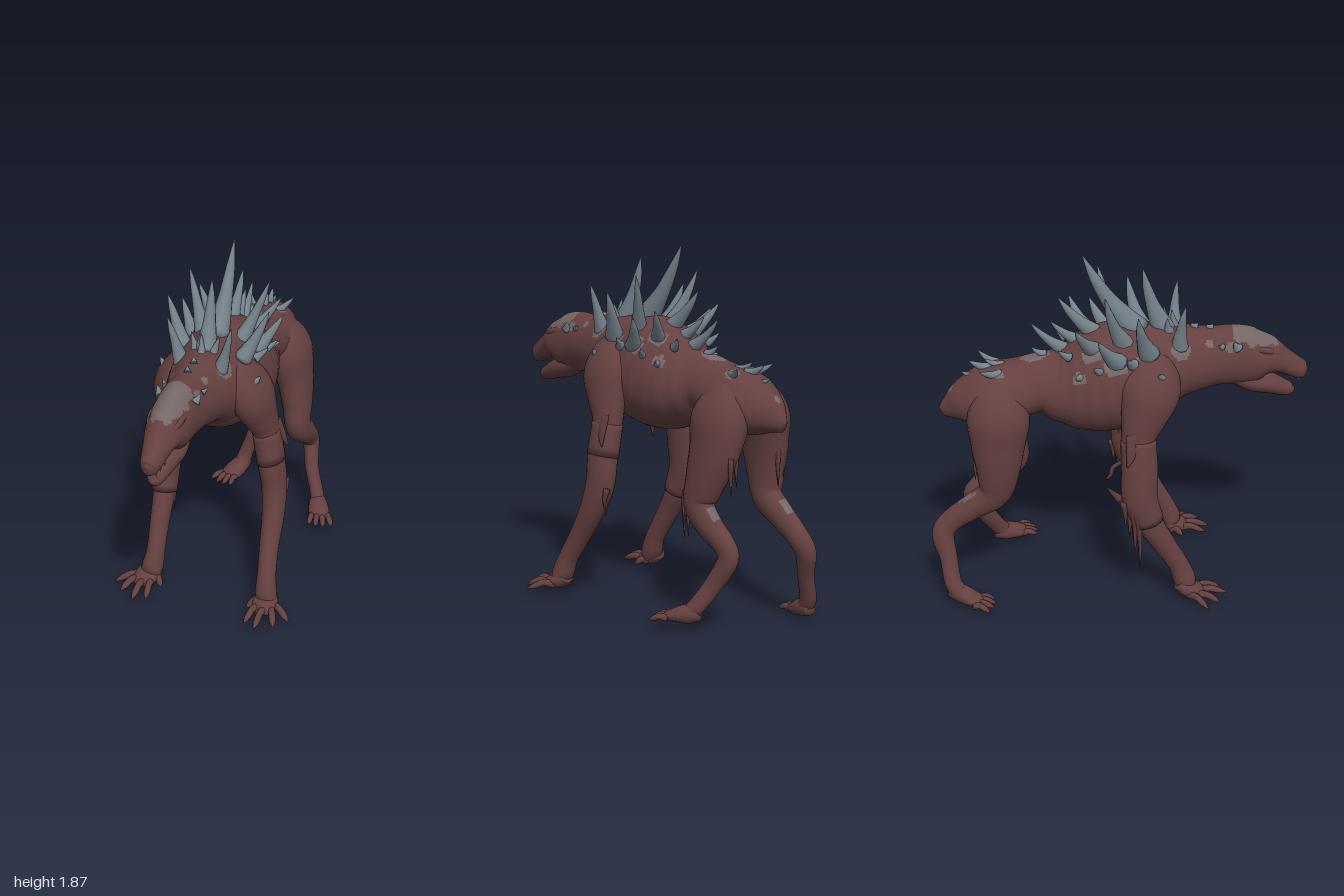
import * as THREE from 'three';

const mat = (name, color, side = THREE.FrontSide) => {
  const m = new THREE.MeshStandardMaterial({ color, side });
  m.name = name;
  return m;
};
const CX = -0.035; // spine line

// Smooth tube through rows of [x, y, z, side radius, other radius], closed at both ends.
// paint(point, sin) picks a material index; topTaper narrows the upper half.
function loft(rows, { steps = 5, sides = 16, topTaper = 0, paint = null, ripple = null } = {}) {
  const path = new THREE.CatmullRomCurve3(rows.map(r => new THREE.Vector3(r[0], r[1], r[2])), false, 'catmullrom');
  const radii = new THREE.CatmullRomCurve3(rows.map(r => new THREE.Vector3(r[3], r[4], 0)), false, 'catmullrom');
  const n = (rows.length - 1) * steps;
  const pos = [], lists = [[], []];
  const s = new THREE.Vector3(), u = new THREE.Vector3(), p = new THREE.Vector3();
  for (let i = 0; i <= n; i++) {
    const c = path.getPoint(i / n), t = path.getTangent(i / n), r = radii.getPoint(i / n);
    s.set(1, 0, 0).addScaledVector(t, -t.x).normalize();
    u.crossVectors(t, s);
    for (let j = 0; j < sides; j++) {
      const a = j / sides * Math.PI * 2, cos = Math.cos(a), sin = Math.sin(a);
      const k = ripple ? 1 + ripple(c, cos) : 1;
      p.copy(c).addScaledVector(s, cos * Math.max(r.x, 0.001) * (1 - topTaper * sin) * k)
        .addScaledVector(u, sin * Math.max(r.y, 0.001) * k);
      pos.push(p.x, p.y, p.z);
    }
  }
  for (let i = 0; i < n; i++) for (let j = 0; j < sides; j++) {
    const j1 = (j + 1) % sides, a = i * sides + j, b = i * sides + j1, c = a + sides, d = b + sides;
    p.fromArray(pos, a * 3);
    lists[paint ? paint(p, Math.sin((j + 0.5) / sides * Math.PI * 2)) : 0].push(a, b, c, b, d, c);
  }
  const first = path.getPoint(0), last = path.getPoint(1), f = pos.length / 3;
  pos.push(...first.toArray(), ...last.toArray());
  for (let j = 0; j < sides; j++) {
    const j1 = (j + 1) % sides;
    lists[0].push(f, j1, j, f + 1, n * sides + j, n * sides + j1);
  }
  const g = new THREE.BufferGeometry();
  g.setAttribute('position', new THREE.Float32BufferAttribute(pos, 3));
  g.setIndex([...lists[0], ...lists[1]]);
  if (paint) {
    g.addGroup(0, lists[0].length, 0);
    g.addGroup(lists[0].length, lists[1].length, 1);
  }
  g.computeVertexNormals();
  return g;
}

export function createModel() {
  const model = new THREE.Group();
  const skin = mat('dark red skin', 0x654040);
  const horn = mat('grey horn', 0x74818a);
  const scar = mat('pale hide', 0x746664);
  const rag = mat('hanging hide', 0x5f3c3c, THREE.DoubleSide);
  const add = (name, geometry, material, parent = model) => {
    const m = new THREE.Mesh(geometry, material);
    m.name = name;
    parent.add(m);
    return m;
  };
  const strip = (name, x, y, z, len, r, parent, dz = 0.01) => add(name, loft([[x, y, z, r, r],
    [x + 0.005, y - len * 0.5, z + dz, r * 0.6, r * 0.7], [x, y - len, z + dz, 0.002, 0.002]], { steps: 3, sides: 6 }), rag, parent);

  // Torso, neck and upper head: [z, top, bottom, half width]
  const sections = [
    [-0.91, 1.06, 1.0, 0.015], [-0.87, 1.115, 0.99, 0.055], [-0.8, 1.195, 0.97, 0.115], [-0.7, 1.265, 0.96, 0.17],
    [-0.6, 1.295, 0.98, 0.19], [-0.5, 1.31, 1.01, 0.175], [-0.4, 1.335, 1.03, 0.165], [-0.3, 1.37, 0.97, 0.195],
    [-0.2, 1.42, 0.92, 0.23], [-0.1, 1.465, 0.905, 0.245], [0, 1.495, 0.92, 0.245], [0.1, 1.5, 0.95, 0.235],
    [0.2, 1.49, 1.02, 0.215], [0.3, 1.475, 1.075, 0.185], [0.4, 1.46, 1.105, 0.155], [0.5, 1.45, 1.13, 0.131],
    [0.6, 1.455, 1.13, 0.115], [0.7, 1.435, 1.13, 0.108], [0.78, 1.39, 1.165, 0.098], [0.85, 1.325, 1.18, 0.078],
    [0.92, 1.27, 1.155, 0.06], [0.97, 1.235, 1.135, 0.045], [0.995, 1.205, 1.15, 0.015]];
  // Pale spots around the horn roots: side offset, y, z, radius
  const spots = [[0.14, 1.4, 0.31, 0.052], [0.2, 1.37, 0.13, 0.06], [0.2, 1.36, -0.03, 0.06], [0.14, 1.4, -0.15, 0.052],
    [0.18, 1.28, -0.21, 0.035], [0.08, 1.26, -0.63, 0.038], [0.1, 1.38, 0.57, 0.03], [0, 1.15, -0.85, 0.025], [0.09, 1.4, 0.46, 0.022]];
  add('body', loft(sections.map(([z, t, b, w]) => [CX, (t + b) / 2, z, w, (t - b) / 2]), {
    steps: 10, sides: 72, topTaper: 0.12,
    ripple: (c, cos) => (c.z < 0.05 && c.z > -0.36 ? 0.006 * Math.sin(c.z * 75) * Math.abs(cos) : 0),
    paint: (p, sin) => {
      const head = p.z > 0.59 && p.z < 0.83 && sin > 0.54 + 20 * (p.z - 0.69) ** 2 + 0.06 * Math.sin(p.z * 90);
      const loin = sin > 0.94 + 12 * (p.z + 0.43) ** 2;
      const spot = spots.some(([x, y, z, r]) => Math.hypot(Math.abs(p.x - CX) - x, p.y - y, p.z - z) < r);
      return head || loin || spot ? 1 : 0;
    }
  }), [skin, scar]);

  // Lower jaw, brows and teeth
  add('lowerJaw', loft([[CX, 1.19, 0.6, 0.07, 0.05], [CX, 1.145, 0.7, 0.088, 0.06], [CX, 1.12, 0.79, 0.073, 0.055],
    [CX, 1.094, 0.86, 0.055, 0.046], [CX, 1.077, 0.91, 0.039, 0.035], [CX, 1.075, 0.935, 0.01, 0.01]]), skin);
  for (const s of [-1, 1]) {
    add('brow', loft([[CX + s * 0.07, 1.35, 0.68, 0.01, 0.01], [CX + s * 0.075, 1.34, 0.75, 0.02, 0.02],
      [CX + s * 0.058, 1.315, 0.82, 0.017, 0.015], [CX + s * 0.042, 1.285, 0.88, 0.008, 0.008]], { sides: 10 }), skin);
    for (let i = 0; i < 3; i++) {
      const upper = add('upperTooth', new THREE.ConeGeometry(0.006, 0.024, 6), horn);
      upper.position.set(CX + s * (0.045 - i * 0.008), 1.158 - i * 0.012, 0.88 + i * 0.035);
      upper.rotation.x = Math.PI;
    }
  }

  // Curved spikes: base, tip, radius
  const spike = (b, t, r, parent) => {
    const B = new THREE.Vector3(...b), T = new THREE.Vector3(...t), h = B.distanceTo(T);
    const row = (k, rad) => {
      const q = B.clone().lerp(T, k);
      q.y -= h * 0.15 * k * (1 - k);
      q.z -= h * 0.1 * k * (1 - k);
      return [q.x, q.y, q.z, rad * 0.85, rad];
    };
    add('spike', loft([row(-0.12, r * 1.2), row(0.1, r), row(0.4, r * 0.68), row(0.72, r * 0.42), row(1, 0.002)],
      { steps: 3, sides: 10 }), horn, parent);
  };
  const crest = new THREE.Group();
  crest.name = 'spineCrest';
  model.add(crest);
  // Spikes along the spine: base z, base y, tip z, tip y, radius
  for (const [z, y, tz, ty, r] of [
    [0.23, 1.47, 0.13, 1.79, 0.055], [0.07, 1.48, -0.175, 1.875, 0.063], [-0.11, 1.44, -0.3, 1.65, 0.045],
    [-0.21, 1.41, -0.34, 1.52, 0.032], [-0.29, 1.37, -0.44, 1.515, 0.032], [0.3, 1.46, 0.28, 1.56, 0.024],
    [-0.38, 1.335, -0.44, 1.38, 0.022], [-0.6, 1.28, -0.68, 1.325, 0.024], [-0.67, 1.27, -0.76, 1.32, 0.028],
    [-0.74, 1.23, -0.8, 1.26, 0.02], [0.4, 1.455, 0.38, 1.48, 0.02], [0.48, 1.445, 0.46, 1.468, 0.02]])
    spike([CX, y, z], [CX - 0.01, ty, tz], r, crest);
  // Paired spikes: base x, y, z, tip x, y, z, radius
  for (const [x, y, z, tx, ty, tz, r] of [
    [0.11, 1.43, 0.02, 0.22, 1.725, -0.08, 0.046], [0.17, 1.4, 0.14, 0.275, 1.635, 0.08, 0.048],
    [0.11, 1.41, 0.31, 0.17, 1.645, 0.33, 0.04], [0.18, 1.36, -0.02, 0.28, 1.52, -0.12, 0.046],
    [0.12, 1.41, -0.14, 0.23, 1.56, -0.23, 0.04], [0.05, 1.46, 0.26, 0.075, 1.54, 0.25, 0.024],
    [0.22, 1.265, 0.22, 0.275, 1.325, 0.19, 0.036], [0.19, 1.31, -0.1, 0.245, 1.36, -0.14, 0.025],
    [0.12, 1.37, -0.26, 0.15, 1.42, -0.31, 0.022], [0.07, 1.26, -0.62, 0.13, 1.31, -0.71, 0.027],
    [0.095, 1.37, 0.61, 0.115, 1.41, 0.59, 0.024], [0.1, 1.38, 0.53, 0.12, 1.4, 0.51, 0.015],
    [0.18, 1.28, -0.2, 0.225, 1.3, -0.23, 0.024], [0.2, 1.35, 0.06, 0.255, 1.4, 0.03, 0.028]])
    for (const s of [-1, 1]) spike([CX + s * x, y, z], [CX + s * tx, ty, tz], r, crest);

  // Digit with a bent knuckle and a pointed claw
  const digit = (name, a, b, r, lift, parent) => {
    const at = k => a.map((v, i) => v + (b[i] - v) * k);
    const [p, q] = [at(0.4), at(0.75)];
    add(name, loft([[...a, r, r], [p[0], p[1] + lift, p[2], r * 0.8, r * 0.85],
      [q[0], q[1] + lift * 0.5, q[2], r * 0.75, r * 0.7], [...b, 0.003, 0.003]], { steps: 3, sides: 8 }), skin, parent);
  };

  // Front legs: shared [y, z, side radius, fore radius]; x for each side
  const armRows = [[1.38, 0.13, 0.05, 0.08], [1.28, 0.15, 0.092, 0.145], [1.18, 0.145, 0.105, 0.155], [1.07, 0.115, 0.086, 0.122],
    [0.95, 0.085, 0.07, 0.09], [0.78, 0.09, 0.07, 0.092], [0.63, 0.09, 0.066, 0.088], [0.48, 0.14, 0.06, 0.072],
    [0.33, 0.225, 0.052, 0.06], [0.2, 0.3, 0.05, 0.055], [0.11, 0.335, 0.058, 0.06], [0.05, 0.355, 0.058, 0.035]];
  const armX = { 1: [0.06, 0.13, 0.178, 0.21, 0.235, 0.265, 0.285, 0.3, 0.31, 0.325, 0.335, 0.345],
    '-1': [-0.13, -0.2, -0.247, -0.275, -0.292, -0.315, -0.328, -0.325, -0.32, -0.312, -0.318, -0.33] };
  for (const s of [1, -1]) {
    const leg = new THREE.Group();
    leg.name = s > 0 ? 'leftFrontLeg' : 'rightFrontLeg';
    model.add(leg);
    const rows = armRows.map((r, i) => [armX[s][i], ...r]);
    add('arm', loft(rows, { sides: 22 }), skin, leg);
    const hx = s > 0 ? 0.34 : -0.335;
    add('palm', loft([[hx, 0.1, 0.3, 0.04, 0.04], [hx, 0.065, 0.35, 0.068, 0.045], [hx + s * 0.01, 0.05, 0.41, 0.06, 0.03],
      [hx + s * 0.01, 0.04, 0.44, 0.035, 0.012]]), skin, leg);
    for (const [x0, z0, x1, z1] of [[0.04, 0.35, 0.16, 0.44], [0.045, 0.39, 0.1, 0.51], [0.01, 0.4, 0.01, 0.56],
      [-0.03, 0.39, -0.055, 0.53], [-0.04, 0.34, -0.09, 0.4]])
      digit('finger', [hx + s * x0, 0.045, z0], [hx + s * x1, 0.025, z1], 0.023, 0.02, leg);
    // Torn hide cuff, flaring gently at its lower edge
    const cuff = rows.slice(4, s > 0 ? 6 : 8).map((r, i) => [r[0], r[1], r[2], r[3] + 0.002 + i * 0.002, r[4] + 0.002 + i * 0.002]);
    add('tornCuff', loft(cuff, { sides: 22 }), skin, leg);
    // Strips hanging behind the forearm
    for (let i = 0; i < (s > 0 ? 2 : 8); i++)
      strip('hideStrip', armX[s][6] + s * (0.035 - (i % 3) * 0.03), 0.62 - (i % 4) * 0.03, (i % 4) * 0.026,
        s > 0 ? 0.12 : 0.14 + 0.055 * ((i * 5) % 4), 0.018, leg, 0.012);
    // Ragged flap at the outer elbow
    add('elbowFlap', loft([[armX[s][4] + s * 0.05, 1.0, 0.05, 0.01, 0.035], [armX[s][5] + s * 0.052, 0.9, 0.04, 0.01, 0.025],
      [armX[s][5] + s * 0.068, 0.84, 0.02, 0.002, 0.004]], { steps: 3, sides: 8 }), rag, leg);
  }
  // Curled scraps behind the right elbow
  add('elbowScrap', loft([[-0.32, 0.84, -0.005, 0.012, 0.01], [-0.32, 0.81, -0.05, 0.012, 0.012], [-0.32, 0.77, -0.06, 0.012, 0.012],
    [-0.32, 0.74, -0.085, 0.003, 0.003]], { steps: 3, sides: 6 }), rag);
  add('forearmScrap', loft([[-0.32, 0.58, 0.03, 0.015, 0.03], [-0.32, 0.64, -0.03, 0.012, 0.02],
    [-0.32, 0.69, -0.075, 0.002, 0.003]], { steps: 3, sides: 6 }), rag);

  // Hind legs: [x, y, z, side radius, fore radius], left stepping forward, right trailing
  const hind = {
    leftHindLeg: [[0.03, 1.24, -0.58, 0.05, 0.08], [0.1, 1.07, -0.605, 0.12, 0.165], [0.145, 0.9, -0.61, 0.1, 0.15],
      [0.175, 0.74, -0.575, 0.082, 0.115], [0.19, 0.62, -0.55, 0.068, 0.09], [0.2, 0.53, -0.63, 0.06, 0.074],
      [0.195, 0.45, -0.725, 0.052, 0.062], [0.2, 0.38, -0.765, 0.046, 0.058], [0.23, 0.25, -0.7, 0.039, 0.05],
      [0.28, 0.14, -0.64, 0.038, 0.046], [0.305, 0.085, -0.6, 0.042, 0.045]],
    rightHindLeg: [[-0.1, 1.24, -0.6, 0.05, 0.08], [-0.17, 1.07, -0.62, 0.12, 0.16], [-0.195, 0.9, -0.63, 0.1, 0.14],
      [-0.2, 0.74, -0.635, 0.082, 0.11], [-0.19, 0.62, -0.66, 0.068, 0.088], [-0.18, 0.545, -0.76, 0.06, 0.072],
      [-0.17, 0.46, -0.88, 0.052, 0.062], [-0.18, 0.38, -0.935, 0.046, 0.06], [-0.21, 0.25, -0.912, 0.039, 0.047],
      [-0.25, 0.12, -0.895, 0.042, 0.046], [-0.265, 0.06, -0.86, 0.046, 0.046]]
  };
  for (const [name, rows] of Object.entries(hind)) {
    const leg = new THREE.Group();
    leg.name = name;
    model.add(leg);
    const s = name === 'leftHindLeg' ? 1 : -1;
    add('thighAndShank', loft(rows, {
      sides: 24, paint: (p, sin) => (sin < -0.85 && p.y > 0.58 && p.y < 0.63 && p.z < -0.6 ? 1 : 0)
    }), [skin, scar], leg);
    // Foot and toes
    const [x, y, z] = rows[rows.length - 1], base = s > 0 ? 0.06 : 0.025;
    add('foot', loft([[x - s * 0.02, y, z - 0.055, 0.03, 0.03], [x, y, z, 0.05, 0.05], [x + s * 0.03, base + 0.012, z + 0.07, 0.06, 0.036],
      [x + s * 0.05, base, z + 0.115, 0.045, 0.022]]), skin, leg);
    for (let i = 0; i < 4; i++) {
      const k = i - 1.5;
      digit('toe', [x + s * 0.04 + k * 0.026, base, z + 0.085 - s * k * 0.008],
        [x + s * 0.07 + k * 0.042, base - 0.012, z + 0.19 - Math.abs(k) * 0.015 - s * k * 0.01], 0.02, 0.014, leg);
    }
    // Torn strips behind the thigh
    for (let i = 0; i < 2; i++)
      strip('thighStrip', rows[2][0] + (i - 0.5) * 0.05, 0.92 - i * 0.04, -0.735 - i * 0.012, 0.19, 0.016, leg, -0.005);
  }

  // Loose strip under the belly
  strip('bellyStrip', -0.02, 0.95, 0, 0.1, 0.018, model);

  return model;
}
